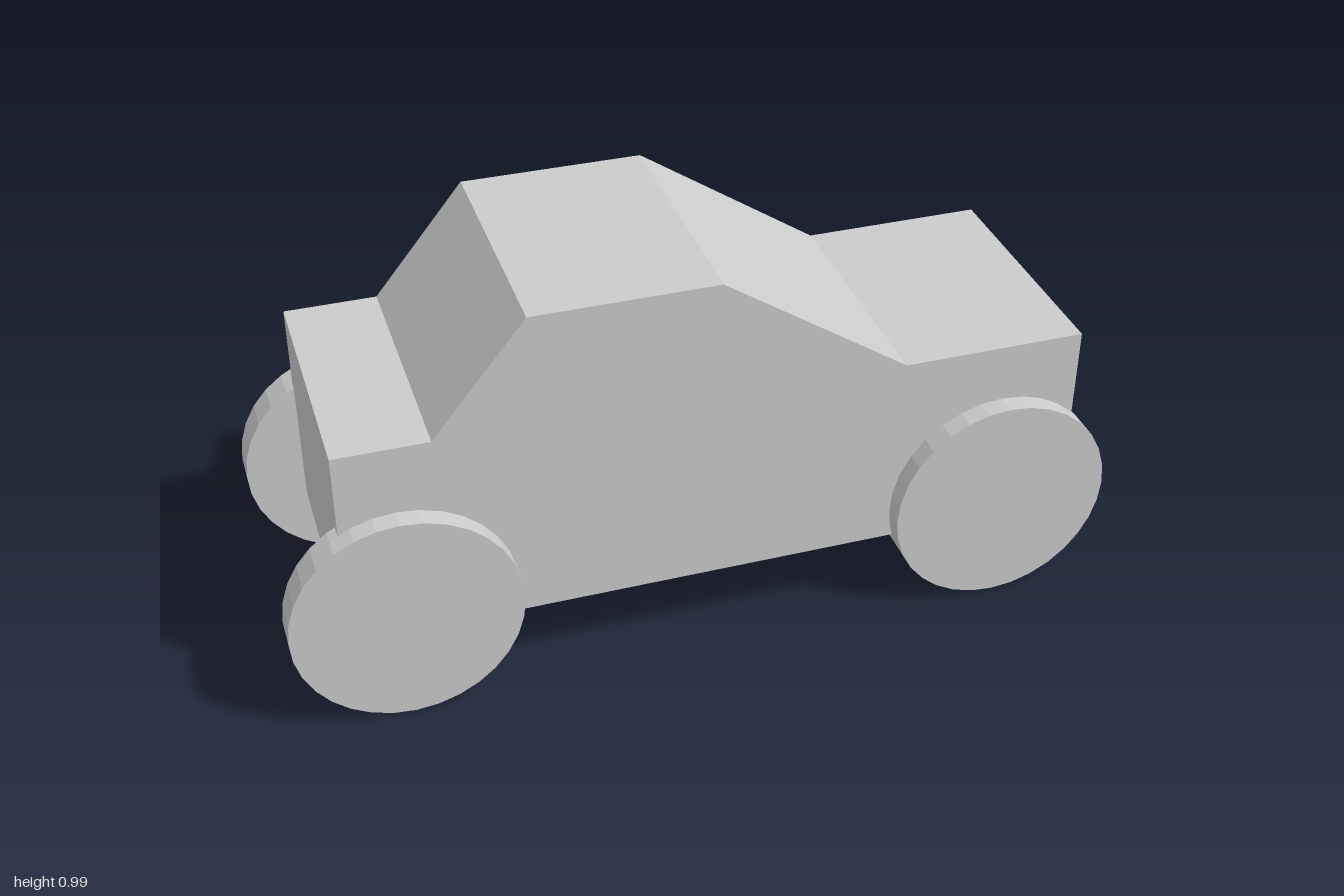
import * as THREE from 'three';

const material = new THREE.MeshStandardMaterial({ color: 0xcccccc, flatShading: true });

// Side outline of the body, extruded across the width
function createBody() {
  const outline = [
    [-0.86, 0.195], [0.92, 0.195], [0.92, 0.687], [0.475, 0.687],
    [0.025, 0.988], [-0.415, 0.988], [-0.637, 0.713], [-0.86, 0.713],
  ];
  const shape = new THREE.Shape(outline.map(([x, y]) => new THREE.Vector2(x, y)));
  const geometry = new THREE.ExtrudeGeometry(shape, { depth: 0.624, bevelEnabled: false });
  geometry.translate(0, 0, -0.307);
  const body = new THREE.Mesh(geometry, material);
  body.name = 'body';
  return body;
}

export function createModel() {
  const model = new THREE.Group();
  model.name = 'car';
  model.add(createBody());

  // Four faceted disc wheels, partly sunk into the body sides
  const radius = 0.271;
  const wheelGeometry = new THREE.CylinderGeometry(radius, radius, 0.083, 32);
  wheelGeometry.rotateX(Math.PI / 2);
  for (const end of [-1, 1]) {
    for (const side of [-1, 1]) {
      const wheel = new THREE.Mesh(wheelGeometry, material);
      wheel.name = `${end > 0 ? 'front' : 'rear'}Wheel${side > 0 ? 'Near' : 'Far'}`;
      wheel.position.set(end * (1 - radius), radius, side * 0.3255);
      model.add(wheel);
    }
  }
  return model;
}
